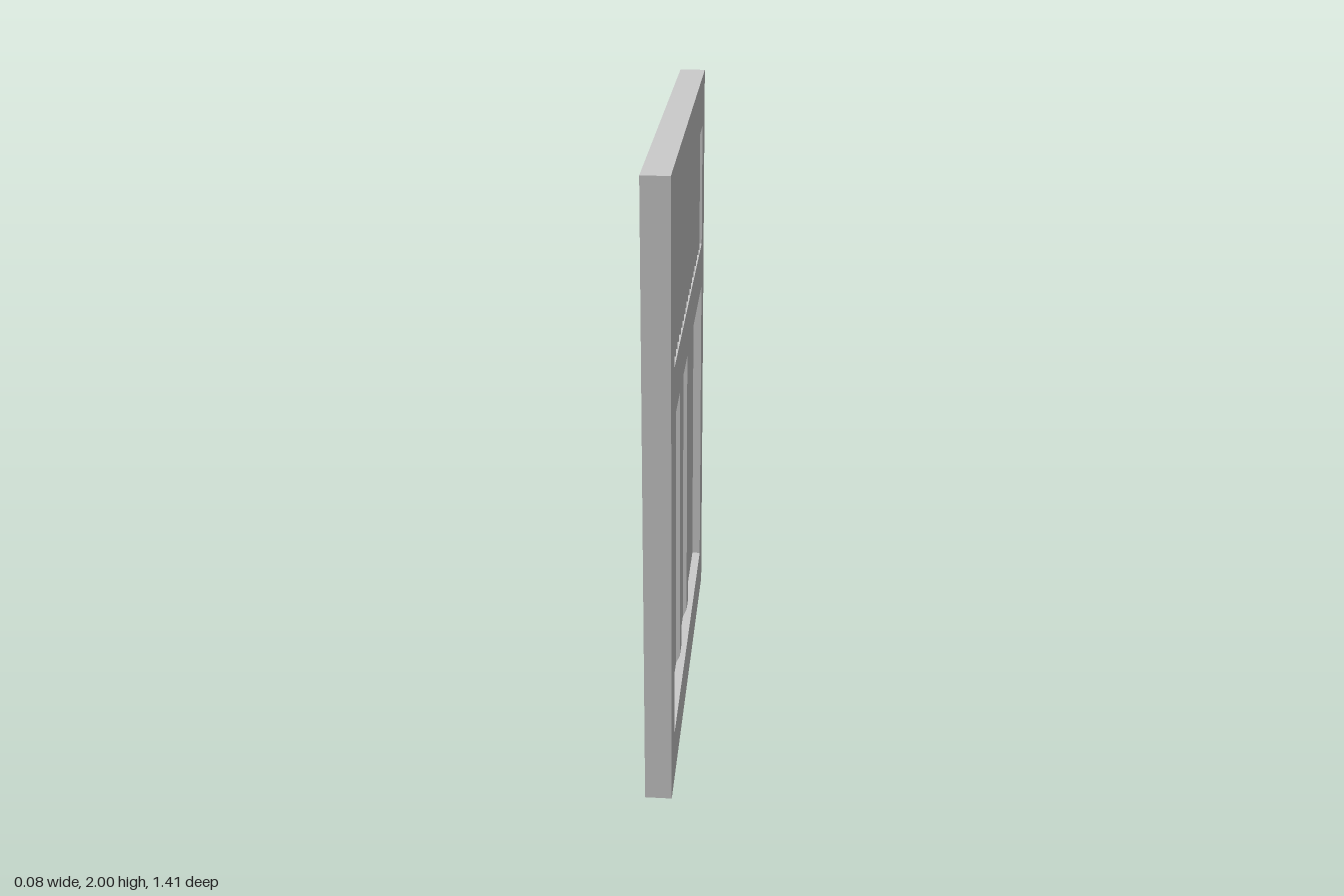
import * as THREE from 'three';

const H = 2, W = 1.41, T = 0.084;           // door height, width (z), thickness (x)
const IN = 0.598;                           // half width of both openings
const PANEL = { y0: 0.17, y1: 1.25 };
const VENT = { y0: 1.41, y1: 1.83 };

export function createModel() {
  const group = new THREE.Group();
  group.name = 'door';
  const mat = new THREE.MeshStandardMaterial({ color: 0xcccccc, flatShading: true });
  const add = (name, geo, parent = group) => {
    const mesh = new THREE.Mesh(geo, mat);
    mesh.name = name;
    parent.add(mesh);
    return mesh;
  };

  // Frame: one slab with two openings, turned so its thickness runs along x
  const rect = (Type, hw, y0, y1) => new Type([
    new THREE.Vector2(-hw, y0), new THREE.Vector2(hw, y0),
    new THREE.Vector2(hw, y1), new THREE.Vector2(-hw, y1),
  ]);
  const outline = rect(THREE.Shape, W / 2, 0, H);
  for (const o of [PANEL, VENT]) outline.holes.push(rect(THREE.Path, IN, o.y0, o.y1));
  const frame = new THREE.ExtrudeGeometry(outline, { depth: T, bevelEnabled: false });
  frame.translate(0, 0, -T / 2).rotateY(Math.PI / 2);
  add('frame', frame);

  // Recessed lower panel
  const panelT = 0.028;
  const panel = add('panel', new THREE.BoxGeometry(panelT, PANEL.y1 - PANEL.y0, IN * 2));
  panel.position.y = (PANEL.y0 + PANEL.y1) / 2;

  // Two raised battens on both panel faces, their ends sloping down to the panel
  const a = panelT / 2, b = 0.027, slope = 0.03, battenW = 0.07;
  const { y0, y1 } = PANEL;
  const profile = new THREE.Shape([
    [-a, y0], [a, y0], [b, y0 + slope], [b, y1 - slope],
    [a, y1], [-a, y1], [-b, y1 - slope], [-b, y0 + slope],
  ].map(([x, y]) => new THREE.Vector2(x, y)));
  const batten = new THREE.ExtrudeGeometry(profile, { depth: battenW, bevelEnabled: false });
  batten.translate(0, 0, -battenW / 2);
  for (const s of [-1, 1]) add('batten', batten).position.z = s * 0.154;

  // Upright louvre slats, each turned 45 degrees
  const slats = new THREE.Group();
  slats.name = 'louvres';
  group.add(slats);
  const count = 19, pitch = 0.0602;
  const slat = new THREE.BoxGeometry(0.03, VENT.y1 - VENT.y0, 0.08);
  for (let i = 0; i < count; i++) {
    const mesh = add('slat', slat, slats);
    mesh.position.set(0, (VENT.y0 + VENT.y1) / 2, (i - (count - 1) / 2) * pitch);
    mesh.rotation.y = Math.PI / 4;
  }
  return group;
}
